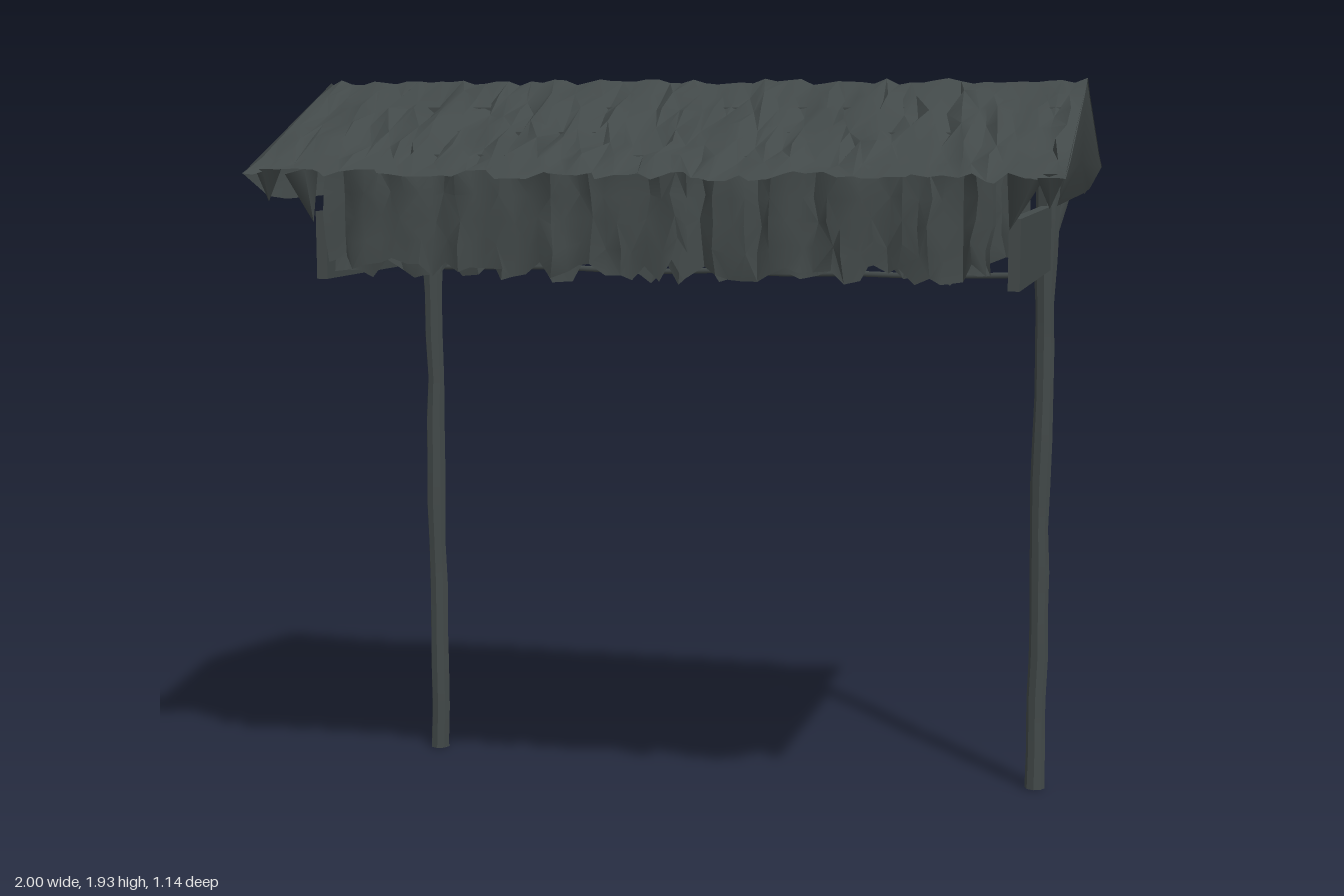
import * as THREE from 'three';
import { toCreasedNormals } from 'three/addons/utils/BufferGeometryUtils.js';

let seed = 7;
// seeded noise in the range -1..1
function rnd() {
  seed = (seed * 16807) % 2147483647;
  return (seed / 2147483647) * 2 - 1;
}

// crumpled sheet: point(i, j) gives the position of column i, row j
function sheet(nu, nv, point) {
  const pos = [], idx = [];
  for (let i = 0; i <= nu; i++) for (let j = 0; j <= nv; j++) pos.push(...point(i, j));
  for (let i = 0; i < nu; i++) {
    for (let j = 0; j < nv; j++) {
      const a = i * (nv + 1) + j, b = a + nv + 1;
      if ((i + j) % 2) idx.push(a, b, a + 1, b, b + 1, a + 1);
      else idx.push(a, b, b + 1, a, b + 1, a + 1);
    }
  }
  const g = new THREE.BufferGeometry();
  g.setAttribute('position', new THREE.Float32BufferAttribute(pos, 3));
  g.setIndex(idx);
  return toCreasedNormals(g, 0.6);
}

export function createModel() {
  seed = 7;
  const model = new THREE.Group();
  const thatch = new THREE.MeshStandardMaterial({ color: 0x424949, side: THREE.DoubleSide });
  thatch.name = 'dark weathered thatch';

  function add(name, geometry, x = 0, y = 0, z = 0) {
    const m = new THREE.Mesh(geometry, thatch);
    m.name = name;
    m.position.set(x, y, z);
    model.add(m);
    return m;
  }

  // thatched slopes with ragged eaves, open underneath
  const rows = [[0, 1.925], [0.09, 1.887], [0.18, 1.85], [0.27, 1.812], [0.36, 1.775],
    [0.45, 1.737], [0.54, 1.7]];
  const cols = 64;
  const ridge = Array.from({ length: cols + 1 }, () => rnd() * 0.009);
  for (const s of [1, -1]) {
    let lift = 0, reach = 0;
    add(s > 0 ? 'frontThatch' : 'backThatch', sheet(cols, rows.length - 1, (i, j) => {
      const end = i === 0 || i === cols;
      const [z, y] = rows[j];
      const x = -1 + (2 * i) / cols + (end || j === 0 ? 0 : rnd() * 0.013);
      if (j === 0) {
        lift = rnd() * 0.007;
        reach = rnd() * 0.03;
        return [x, y + ridge[i], 0];
      }
      if (end) return [x, y, s * (j === 6 ? 0.565 : z)];
      if (j === 6) return [x, y - reach * 0.4, s * (z + reach)];
      return [x, y + lift + rnd() * 0.013, s * (z + rnd() * 0.02)];
    }));

    // purlins running the length of the roof
    for (const [z, y] of [[0.12, 1.85], [0.26, 1.79], [0.39, 1.735]]) {
      add('purlin', new THREE.BoxGeometry(1.96, 0.02, 0.025), 0, y, s * z);
    }
  }

  // closed gable ends with a short lip turned in along the bottom
  for (const s of [1, -1]) {
    const profile = [[0, 1.925, 0.998], [0.565, 1.7, 0.998], [0.47, 1.642, 0.975], [0.38, 1.632, 0.965],
      [-0.38, 1.636, 0.965], [-0.47, 1.645, 0.975], [-0.565, 1.7, 0.998]];
    const pos = [s * 0.99, 1.73, 0], idx = [];
    profile.forEach(([z, y, x], k) => {
      const a = k + 1, b = ((k + 1) % profile.length) + 1;
      pos.push(s * x, y, z);
      idx.push(0, ...(s > 0 ? [a, b] : [b, a]).reverse());
    });
    const g = new THREE.BufferGeometry();
    g.setAttribute('position', new THREE.Float32BufferAttribute(pos, 3));
    g.setIndex(idx);
    add('gableEnd', toCreasedNormals(g, 0.6));
  }

  // tie beams across the open roof
  for (const x of [-0.5, 0.5]) {
    add('tieBeam', new THREE.BoxGeometry(0.04, 0.05, 0.86), x, 1.665, 0);
  }

  // hanging fringes: two ragged layers on the front and the back
  for (const s of [1, -1]) {
    for (const [z, low] of [[0.465, 1.475], [0.42, 1.465]]) {
      let drop = 0, fold = 0;
      add(s > 0 ? 'frontFringe' : 'backFringe', sheet(48, 4, (i, j) => {
        if (j === 0) { drop = rnd() * 0.028; fold = rnd() * 0.015; }
        const y = 1.71 + ((low + drop - 1.71) * j) / 4;
        const x = -0.82 + (1.64 * i) / 48 + rnd() * 0.009;
        return [x, y, s * (z + fold + rnd() * 0.008)];
      }));
    }
    // tufts filling the corners beneath the eaves
    for (const e of [1, -1]) {
      const tuft = new THREE.ConeGeometry(0.045, 0.13, 5);
      tuft.rotateX(Math.PI);
      add('cornerTuft', tuft, e * 0.88, 1.64, s * 0.45).rotation.z = e * -0.25;
      const tip = new THREE.ConeGeometry(0.035, 0.08, 4);
      tip.rotateX(Math.PI);
      add('eaveTip', tip, e * 0.96, 1.67, s * 0.5);
    }
  }

  // thin uneven rod below the back fringe
  const rodPoints = [];
  for (let k = 0; k <= 10; k++) {
    rodPoints.push(new THREE.Vector3(-0.84 + k * 0.168, 1.416 + rnd() * 0.006, -0.385));
  }
  add('backRod', new THREE.TubeGeometry(new THREE.CatmullRomCurve3(rodPoints), 30, 0.008, 5));

  for (const s of [1, -1]) {
    // side boards hung between the front and back fringes
    add('sideBoard', new THREE.BoxGeometry(0.028, 0.17, 0.77), s * 0.87, 1.517, 0.005);

    // gently knobbly back posts, thicker towards the head
    const levels = 14;
    const rings = Array.from({ length: levels + 1 }, (_, j) =>
      [rnd() * 0.003, rnd() * 0.003, 0.026 + rnd() * 0.002 + (j > 11 ? 0.006 : 0)]);
    add('backPost', sheet(8, levels, (i, j) => {
      const [ox, oz, rad] = rings[j];
      const a = ((i % 8) / 8) * Math.PI * 2;
      return [s * 0.87 + ox + Math.sin(a) * rad, (1.7 * j) / levels, -0.405 + oz + Math.cos(a) * rad];
    }));
    const foot = new THREE.CircleGeometry(0.026, 8);
    foot.rotateX(Math.PI / 2);
    add('postFoot', foot, s * 0.87, 0.001, -0.405);

    // forked brace at the post head
    const brace = new THREE.CylinderGeometry(0.016, 0.012, 0.24, 5);
    add('postBrace', brace, s * 0.895, 1.56, -0.43).rotation.set(-0.2, 0, s * -0.25);
  }
  return model;
}
